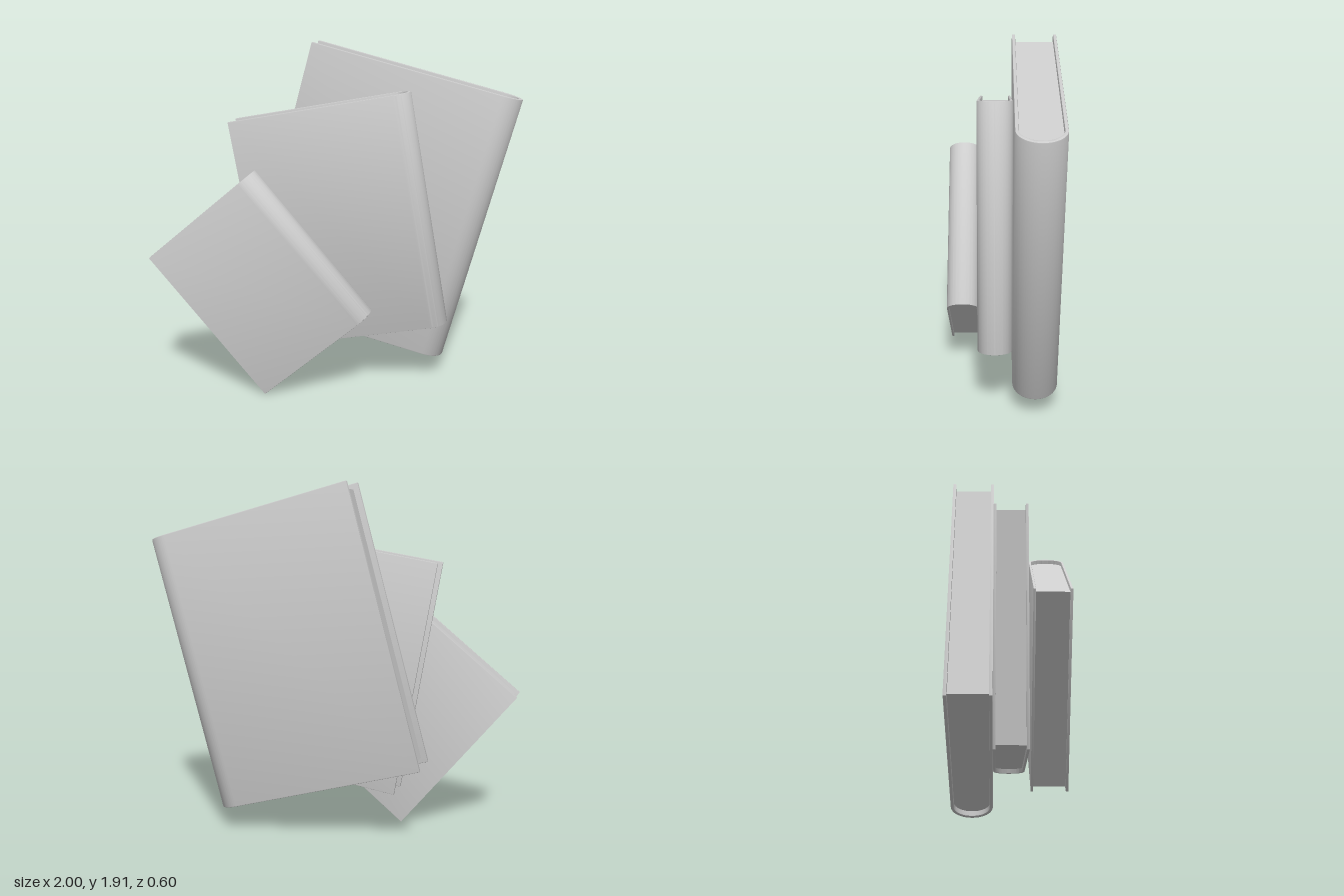
import * as THREE from 'three';
import { toCreasedNormals } from 'three/addons/utils/BufferGeometryUtils.js';

// Half-round spine sweeping from one side of the book to the other at +x
function addSpine(shape, cx, rx, rz, reverse) {
  const a = Math.PI / 2;
  shape.absellipse(cx, 0, rx, rz, reverse ? a : -a, reverse ? -a : a, reverse, 0);
}

// Extrudes an x/z outline along the height of the book, centred on y = 0
function upright(shape, height, bevel) {
  const geo = new THREE.ExtrudeGeometry(shape, {
    depth: height - 2 * bevel,
    bevelEnabled: bevel > 0,
    bevelSize: bevel,
    bevelThickness: bevel,
    bevelOffset: -bevel,
    bevelSegments: 2,
    curveSegments: 32,
  });
  geo.translate(0, 0, -height / 2 + bevel);
  geo.rotateX(-Math.PI / 2);
  return toCreasedNormals(geo, 0.6);
}

function makeBook({ name, width, height, zMin, zMax, x, y, tilt, board, inset }) {
  const material = new THREE.MeshStandardMaterial({ color: 0xcccccc });
  const r = (zMax - zMin) / 2;
  const left = -width / 2;
  const spineX = width / 2 - r;
  const spineDepth = r - board * 1.4;
  const inner = r - board;

  // Cover: two boards joined by the round spine
  const cover = new THREE.Shape();
  cover.moveTo(left, -r);
  cover.lineTo(spineX, -r);
  addSpine(cover, spineX, r, r, false);
  cover.lineTo(left, r);
  cover.lineTo(left, inner);
  cover.lineTo(spineX, inner);
  addSpine(cover, spineX, spineDepth, inner, true);
  cover.lineTo(left, -inner);
  cover.closePath();

  // Page block: fills the cover, set back from its three open edges
  const fit = 0.001;
  const pages = new THREE.Shape();
  pages.moveTo(left + inset, -inner - fit);
  pages.lineTo(spineX, -inner - fit);
  addSpine(pages, spineX, spineDepth + fit, inner + fit, false);
  pages.lineTo(left + inset, inner + fit);
  pages.closePath();

  const book = new THREE.Group();
  book.name = name;
  const coverMesh = new THREE.Mesh(upright(cover, height, board * 0.3), material);
  coverMesh.name = 'cover';
  const pageMesh = new THREE.Mesh(upright(pages, height - 2 * inset, 0), material);
  pageMesh.name = 'pages';
  book.add(coverMesh, pageMesh);
  book.position.set(x, y, (zMin + zMax) / 2);
  book.rotation.z = THREE.MathUtils.degToRad(tilt);
  return book;
}

export function createModel() {
  const model = new THREE.Group();
  model.name = 'books';
  const books = [
    { name: 'largeBook', width: 1.19, height: 1.55, zMin: -0.302, zMax: -0.062,
      x: 0.225, y: 1.015, tilt: -15, board: 0.018, inset: 0.031 },
    { name: 'mediumBook', width: 1.0, height: 1.3, zMin: -0.062, zMax: 0.122,
      x: 0.022, y: 0.94, tilt: 10, board: 0.015, inset: 0.026 },
    { name: 'smallBook', width: 0.757, height: 0.993, zMin: 0.122, zMax: 0.302,
      x: -0.39, y: 0.625, tilt: 40, board: 0.012, inset: 0.02 },
  ];
  for (const spec of books) model.add(makeBook(spec));
  return model;
}
